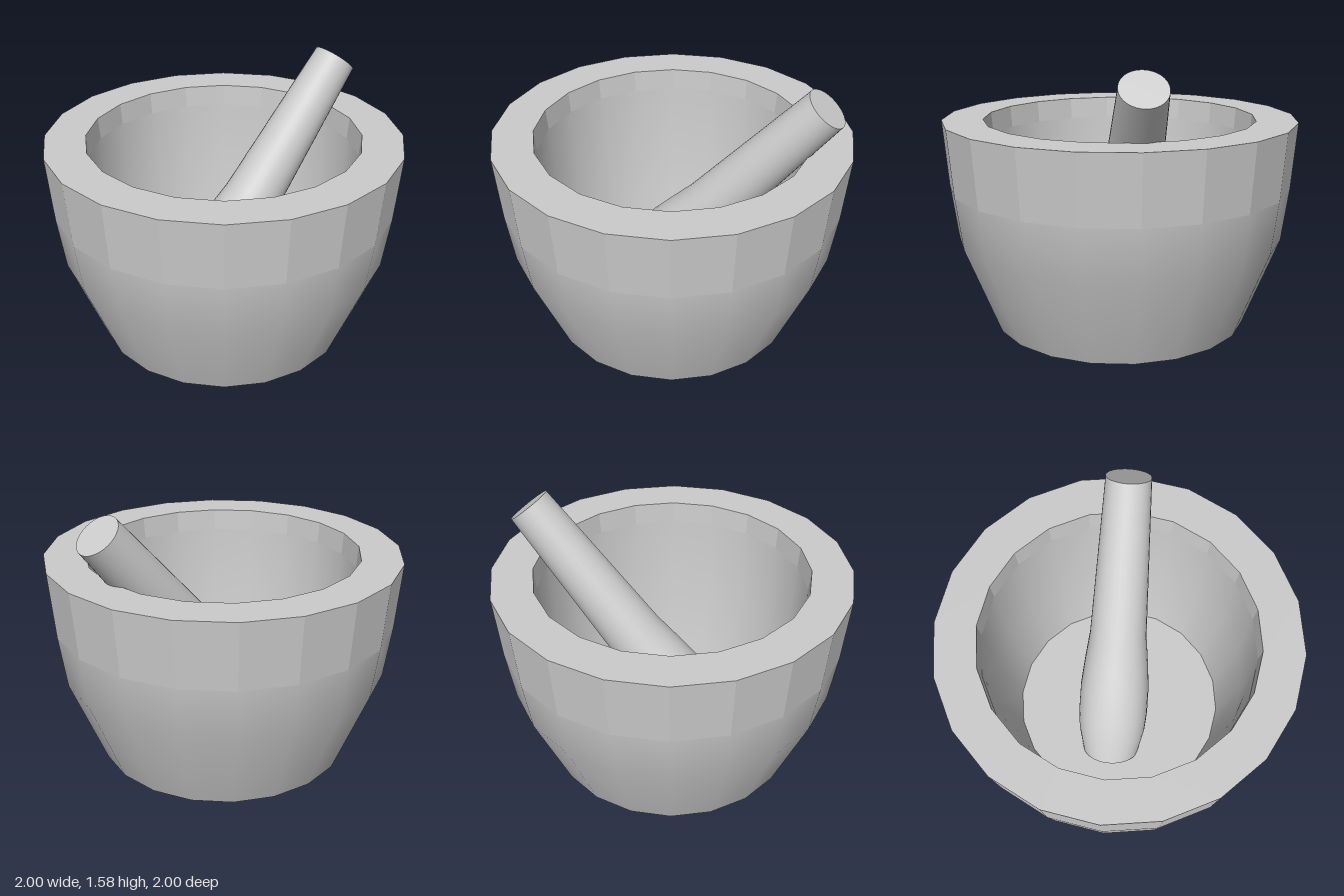
import * as THREE from 'three';

const smooth = new THREE.MeshStandardMaterial({ color: 0xcccccc });
const faceted = new THREE.MeshStandardMaterial({ color: 0xcccccc, flatShading: true });

// Revolve a profile of [radius, height] pairs; rising profiles face outward
function turned(name, profile, sides, material) {
  const points = profile.map(([r, y]) => new THREE.Vector2(r, y));
  const mesh = new THREE.Mesh(new THREE.LatheGeometry(points, sides), material);
  mesh.name = name;
  return mesh;
}

export function createModel() {
  const group = new THREE.Group();
  group.name = 'mortarAndPestle';

  // Mortar: separate rings keep the edges between them sharp
  const sides = 20;
  const mortar = new THREE.Group();
  mortar.name = 'mortar';
  mortar.add(
    turned('base', [[0, 0.05], [0.73, 0.05]], sides, faceted),
    turned('outerWall', [[0.73, 0.05], [0.93, 0.56], [0.97, 0.86]], sides, smooth),
    turned('outerBand', [[0.97, 0.86], [1, 1.235]], sides, faceted),
    turned('rim', [[1, 1.235], [0.77, 1.235]], sides, faceted),
    turned('innerBand', [[0.77, 1.235], [0.76, 1.11]], sides, faceted),
    turned('innerWall', [[0.76, 1.11], [0.73, 0.6], [0.63, 0.15]], sides, smooth),
    turned('floor', [[0.63, 0.15], [0, 0.15]], sides, faceted),
  );
  group.add(mortar);

  // Pestle: origin at the centre of its upper end, leaning toward +x
  const pestle = new THREE.Group();
  pestle.name = 'pestle';
  const length = 1.797;
  pestle.add(
    turned('pestleShaft', [
      [0.172, -length], [0.205, -1.63], [0.212, -1.5], [0.208, -1.32],
      [0.19, -1.14], [0.168, -0.96], [0.126, 0],
    ], 32, smooth),
    turned('pestleTop', [[0.126, 0], [0, 0]], 32, faceted),
    turned('pestleFoot', [[0, -length], [0.172, -length]], 32, faceted),
  );
  pestle.position.set(0.833, 1.505, -0.025);
  pestle.rotation.z = -Math.atan2(0.634, 0.773);
  group.add(pestle);

  return group;
}
